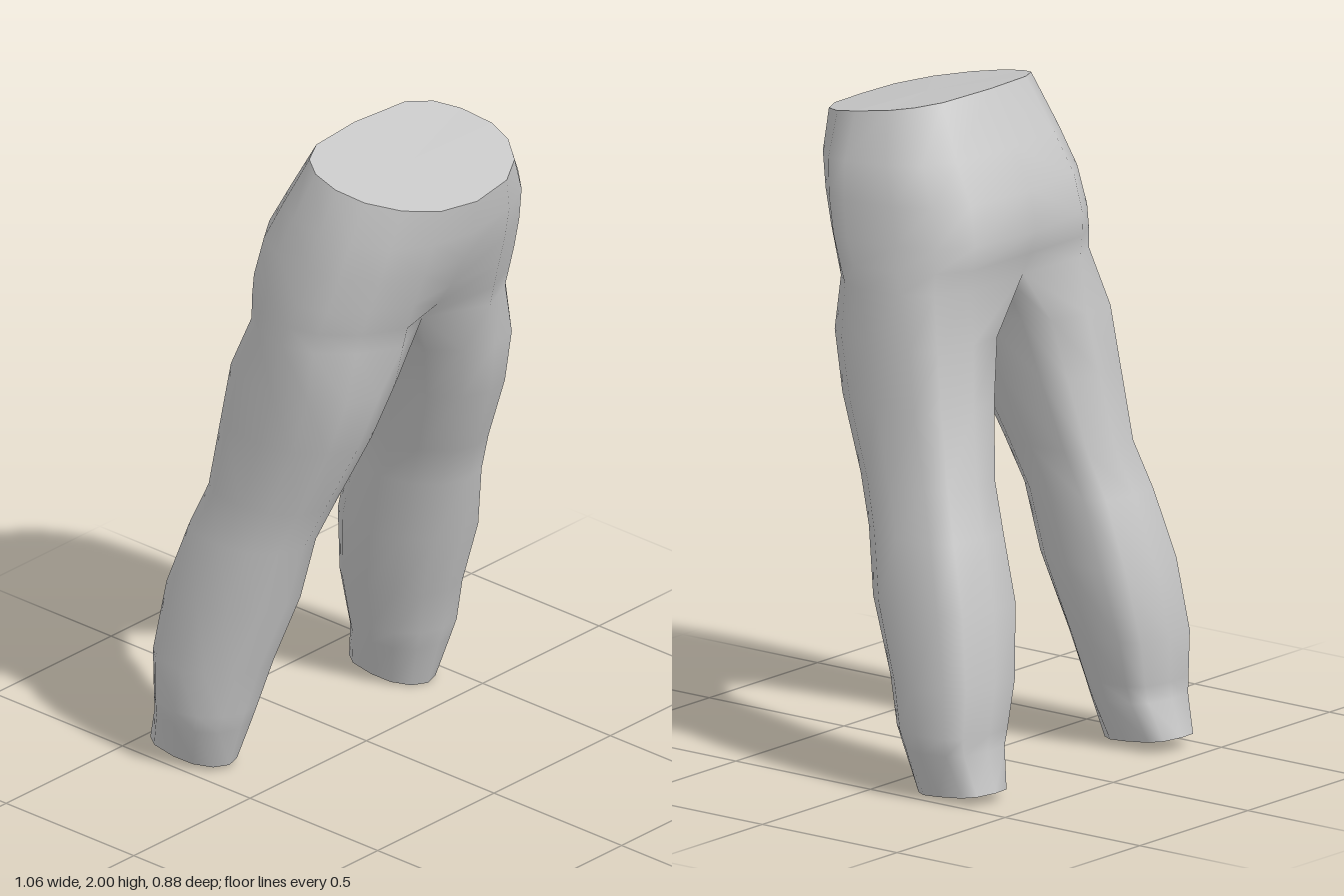
import * as THREE from 'three';
import { mergeVertices } from 'three/addons/utils/BufferGeometryUtils.js';

const SEAM = -0.012; // x of the centre seam
const YAW = 0.09; // slight turn of the leg sections: z gained per unit of x
const pw = (v, e) => Math.sign(v) * Math.pow(Math.abs(v), e);
const lerp = THREE.MathUtils.lerp;

// Torso rows shared by both sides: front y, back y, front z, back z, front pinch, back pinch
const TORSO = [
  [1.905, 2.0, 0.445, -0.035, 0, 0],
  [1.80, 1.84, 0.43, -0.12, 0, 0],
  [1.70, 1.72, 0.405, -0.185, 0.01, 0],
  [1.60, 1.60, 0.375, -0.205, 0.03, 0],
  [1.52, 1.53, 0.355, -0.195, 0.065, 0.015],
  [1.455, 1.465, 0.34, -0.185, 0.11, 0.03],
];

// Per side: hip = [half width, z of the widest point];
// leg = [front y, back y, outer x, inner x, front z, back z]
const SIDES = [
  {
    s: 1, name: 'left',
    hip: [[0.31, 0.21], [0.37, 0.2], [0.387, 0.19], [0.397, 0.17], [0.403, 0.14], [0.408, 0.11]],
    leg: [
      [1.30, 1.30, 0.415, 0.045, 0.295, -0.165],
      [1.12, 1.12, 0.425, 0.095, 0.25, -0.19],
      [0.90, 0.90, 0.44, 0.15, 0.16, -0.23],
      [0.76, 0.76, 0.48, 0.172, 0.10, -0.28],
      [0.56, 0.56, 0.51, 0.18, 0.065, -0.335],
      [0.34, 0.34, 0.525, 0.222, -0.02, -0.36],
      [0.20, 0.20, 0.53, 0.255, -0.055, -0.355],
      [0.14, 0.15, 0.518, 0.267, -0.075, -0.35],
      [0.0, 0.03, 0.487, 0.305, -0.12, -0.38],
    ],
  },
  {
    s: -1, name: 'right',
    hip: [[0.315, 0.165], [0.365, 0.15], [0.39, 0.13], [0.415, 0.11], [0.425, 0.08], [0.43, 0.06]],
    leg: [
      [1.30, 1.30, 0.437, 0.07, 0.28, -0.20],
      [1.12, 1.12, 0.44, 0.11, 0.215, -0.23],
      [0.90, 0.90, 0.45, 0.165, 0.115, -0.26],
      [0.76, 0.76, 0.475, 0.182, 0.05, -0.315],
      [0.56, 0.56, 0.505, 0.186, 0.0, -0.38],
      [0.34, 0.34, 0.525, 0.222, -0.08, -0.41],
      [0.20, 0.20, 0.53, 0.262, -0.115, -0.395],
      [0.14, 0.15, 0.518, 0.273, -0.135, -0.4],
      [0.01, 0.04, 0.487, 0.305, -0.175, -0.437],
    ],
  },
];

// Half section of the hips (0..8 front to back, squarer behind) plus three crotch points
function torsoRing(side, r) {
  const [yf, yb, zf, zb, pinchF, pinchB] = TORSO[r];
  const [w, zs] = side.hip[r];
  const ring = [];
  for (let k = 0; k <= 8; k++) {
    const t = (k / 8) * Math.PI;
    const c = Math.cos(t);
    const front = c > 0;
    let z = zs + (front ? (zf - zs) * pw(c, 1.1) : (zs - zb) * pw(c, 0.85));
    if (k === 0) z -= pinchF;
    if (k === 8) z += pinchB;
    const x = k % 8 === 0 ? SEAM : side.s * w * Math.pow(Math.sin(t), front ? 0.85 : 0.52);
    ring.push([x, lerp(yf, yb, Math.pow((1 - c) / 2, 0.8)), z]);
  }
  for (let k = 1; k <= 3; k++) {
    ring.push([SEAM, lerp(yb, yf, k / 4), lerp(zb + pinchB, zf - pinchF, k / 4)]);
  }
  return ring;
}

// Full twelve-point section of a leg from its inner front: round in front, square behind
function legRing(side, [yf, yb, outer, inner, zf, zb]) {
  const cx = (outer + inner) / 2, rx = (outer - inner) / 2;
  const cz = (zf + zb) / 2, rz = (zf - zb) / 2;
  return Array.from({ length: 12 }, (_, k) => {
    const a = ((60 + 30 * k) * Math.PI) / 180;
    const [ex, ez] = Math.sin(a) > 0 ? [0.95, 1] : [0.58, 0.7];
    const dx = -side.s * rx * pw(Math.cos(a), ex);
    return [
      side.s * cx + dx,
      lerp(yf, yb, (1 - Math.sin(a)) / 2),
      cz + rz * pw(Math.sin(a), ez) + YAW * dx,
    ];
  });
}

function geometryFrom(positions) {
  const g = new THREE.BufferGeometry();
  g.setAttribute('position', new THREE.Float32BufferAttribute(positions, 3));
  return g;
}

// Flat fan closing a ring; the ring runs counter-clockwise as seen from outside
function capGeometry(ring) {
  const centre = [0, 1, 2].map((i) => ring.reduce((sum, p) => sum + p[i], 0) / ring.length);
  const pos = [];
  ring.forEach((p, i) => pos.push(...centre, ...p, ...ring[(i + 1) % ring.length]));
  const g = geometryFrom(pos);
  g.computeVertexNormals();
  return g;
}

export function createModel() {
  const group = new THREE.Group();
  group.name = 'trousers';
  const cloth = new THREE.MeshStandardMaterial({ color: 0xc8c8c8 });
  cloth.name = 'grey cloth';

  const add = (name, geometry) => {
    const mesh = new THREE.Mesh(geometry, cloth);
    mesh.name = name;
    group.add(mesh);
  };

  const pos = [];
  const waist = [];
  for (const side of SIDES) {
    const rings = TORSO.map((_, r) => torsoRing(side, r));
    side.leg.forEach((row) => rings.push(legRing(side, row)));

    // Outer half shell above the crotch, closed tube below it
    for (let r = 0; r < rings.length - 1; r++) {
      const count = r < TORSO.length - 1 ? 8 : 12;
      for (let k = 0; k < count; k++) {
        const n = (k + 1) % 12;
        const a = rings[r][k], b = rings[r][n], c = rings[r + 1][k], d = rings[r + 1][n];
        const quad = side.s > 0 ? [a, c, b, b, c, d] : [a, b, c, b, d, c];
        quad.forEach((p) => pos.push(...p));
      }
    }

    // Waist outline: left side front to back, then right side back to front
    const half = rings[0].slice(0, 9);
    waist.push(...(side.s > 0 ? half : half.reverse().slice(1, 8)));

    // Sole of the cuff
    const hem = rings[rings.length - 1].slice();
    add(side.name + 'CuffEnd', capGeometry(side.s > 0 ? hem.reverse() : hem));
  }

  // One welded, smooth surface for both legs and the hips
  const body = mergeVertices(geometryFrom(pos), 1e-4);
  body.computeVertexNormals();
  add('trouserBody', body);
  add('waistTop', capGeometry(waist));
  return group;
}
